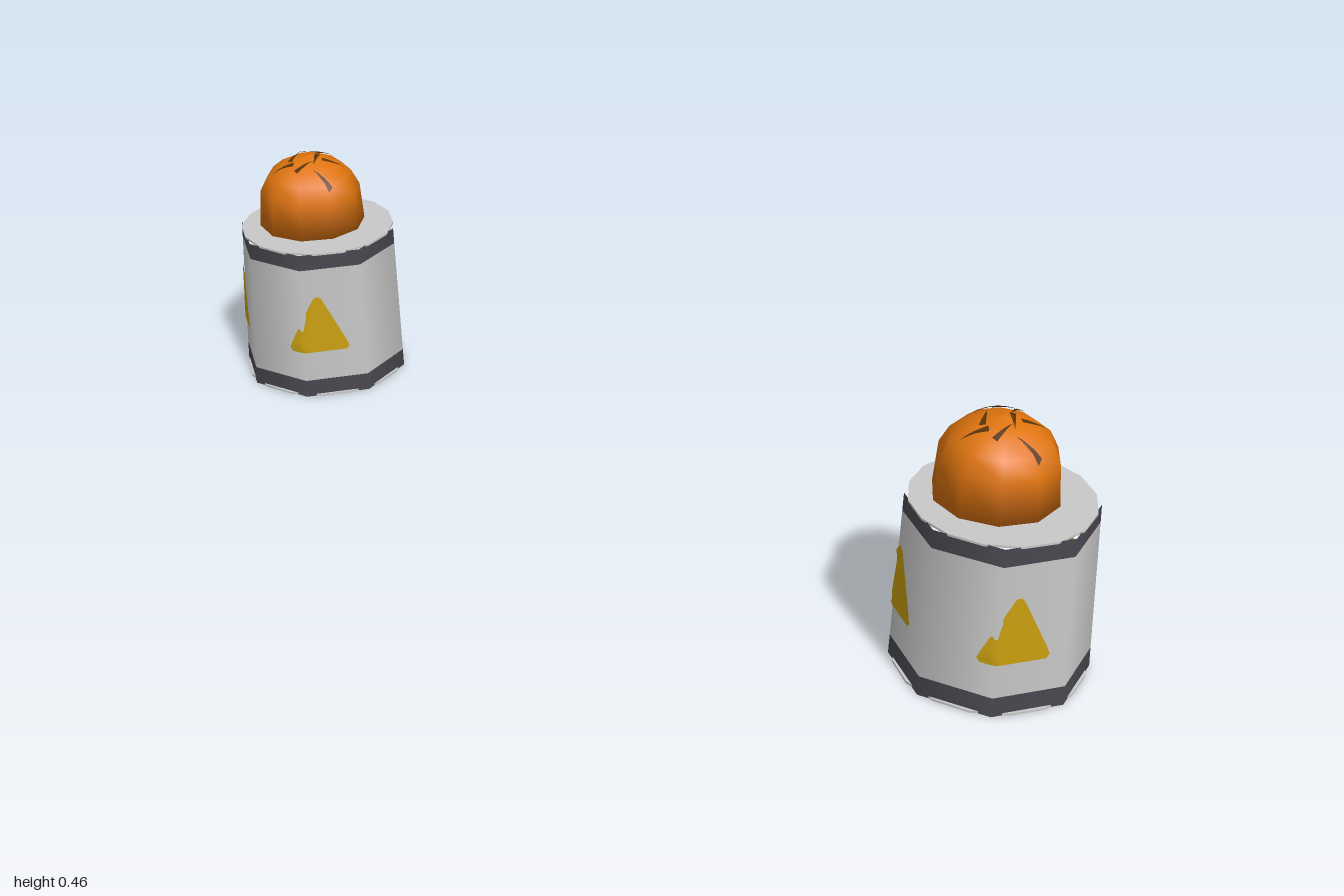
import * as THREE from 'three';

const DEG = Math.PI / 180;
const SIDES = 8;
const TURN = 10 * DEG; // azimuth of the first shell corner (0 = +x, 90 = +z)
const H = 0.313;

const mat = (name, color, side = THREE.FrontSide) => {
  const m = new THREE.MeshStandardMaterial({ color, side });
  m.name = name;
  return m;
};

// corner radius of the tapered shell at height y
const cornerRadius = (y) => 0.168 - 0.009 * (y / H);

// distance from the axis to the shell's flat sides at any azimuth
function shellRadius(az, y) {
  const step = (2 * Math.PI) / SIDES;
  const a = (((az - TURN) % step) + step) % step - step / 2;
  return cornerRadius(y) * Math.cos(step / 2) / Math.cos(a);
}

// point on a surface of radius r(az, y) as a grid of rows and columns
function gridGeometry(rows, cols, pointAt) {
  const pos = [], idx = [];
  for (let i = 0; i <= rows; i++)
    for (let j = 0; j <= cols; j++) pos.push(...pointAt(i, j));
  for (let i = 0; i < rows; i++)
    for (let j = 0; j < cols; j++) {
      const a = i * (cols + 1) + j, b = a + cols + 1;
      idx.push(a, b, a + 1, a + 1, b, b + 1);
    }
  const g = new THREE.BufferGeometry();
  g.setAttribute('position', new THREE.Float32BufferAttribute(pos, 3));
  g.setIndex(idx);
  g.computeVertexNormals();
  return g;
}

// warning triangle with softened corners, wrapped on the shell
function triangleGeometry(az) {
  const outline = [[0.1, 0.054], [0.107, 0.06], [0.125, 0.053], [0.205, 0.014], [0.215, 0.009], [0.221, 0.003]];
  const cols = 12;
  return gridGeometry(outline.length - 1, cols, (i, j) => {
    const [y, half] = outline[i];
    const a = az + (half * (1 - (2 * j) / cols)) / 0.155;
    const r = shellRadius(a, y) + 0.004;
    return [r * Math.cos(a), y, r * Math.sin(a)];
  });
}

const domeProfile = [[0, 0.318], [0.107, 0.318], [0.101, 0.393], [0.085, 0.424], [0.062, 0.443], [0.035, 0.456], [0, 0.462]]
  .map(([r, y]) => new THREE.Vector2(r, y));

// dome height at a given radius, on the rounded top
function domeY(r) {
  for (let i = 2; i < domeProfile.length - 1; i++) {
    const p = domeProfile[i], q = domeProfile[i + 1];
    if (r >= q.x) return q.y + ((r - q.x) / (p.x - q.x)) * (p.y - q.y);
  }
  return 0.462;
}

// narrow scratch running over the top of the dome
function scratchGeometry(az, r, heading, length, width) {
  const cx = r * Math.cos(az), cz = r * Math.sin(az);
  return gridGeometry(4, 1, (i, j) => {
    const t = i / 4 - 0.5;
    const side = (j - 0.5) * width * (1 - i / 4);
    const x = cx + Math.cos(heading) * t * length - Math.sin(heading) * side;
    const z = cz + Math.sin(heading) * t * length + Math.cos(heading) * side;
    return [x, domeY(Math.min(Math.hypot(x, z), 0.1)) + 0.003, z];
  });
}

export function createModel() {
  const grey = mat('light grey', 0xc8c8c8);
  const dark = mat('dark grey', 0x48484f);
  const orange = mat('orange', 0xe0750f);
  const yellow = mat('yellow', 0xc89e10, THREE.DoubleSide);
  const brown = mat('dark brown', 0x5a3208, THREE.DoubleSide);

  const add = (parent, name, geometry, material) => {
    const m = new THREE.Mesh(geometry, material);
    m.name = name;
    parent.add(m);
    return m;
  };

  function canister(name) {
    const g = new THREE.Group();
    g.name = name;

    // eight-sided shell in three bands
    const band = (label, y0, y1, material) => {
      const geo = new THREE.CylinderGeometry(cornerRadius(y1), cornerRadius(y0), y1 - y0, SIDES, 1, true, 35 * DEG);
      add(g, label, geo, material).position.y = (y0 + y1) / 2;
    };
    band('lowerBand', 0, 0.036, dark);
    band('shell', 0.036, 0.28, grey);
    band('upperBand', 0.28, H, dark);

    // round lid and base plates
    const lid = add(g, 'lid', new THREE.CylinderGeometry(0.155, 0.155, 0.004, 16), grey);
    lid.position.set(-0.002, H - 0.001, -0.003);
    const base = add(g, 'basePlate', new THREE.CylinderGeometry(0.163, 0.163, 0.004, 16), grey);
    base.position.y = 0.002;

    // warning triangles
    for (const az of [44, 139, 283])
      add(g, 'warningTriangle', triangleGeometry(az * DEG), yellow);

    // lamp: collar, dome and scratches
    const lamp = new THREE.Group();
    lamp.name = 'lamp';
    lamp.position.x = -0.014;
    g.add(lamp);
    add(lamp, 'collar', new THREE.CylinderGeometry(0.08, 0.08, 0.01, 12), yellow).position.y = 0.316;
    add(lamp, 'dome', new THREE.LatheGeometry(domeProfile, 10), orange);
    for (let i = 0; i < 9; i++) {
      const az = i * 2.4, r = 0.022 + 0.006 * i;
      add(lamp, 'scratch', scratchGeometry(az, r, az + 0.9 + i, 0.045, 0.011), brown);
    }
    return g;
  }

  const model = new THREE.Group();
  model.name = 'canisterPair';
  const right = canister('rightCanister');
  right.position.x = -0.837;
  const left = canister('leftCanister');
  left.position.x = 0.832;
  model.add(right, left);
  return model;
}
